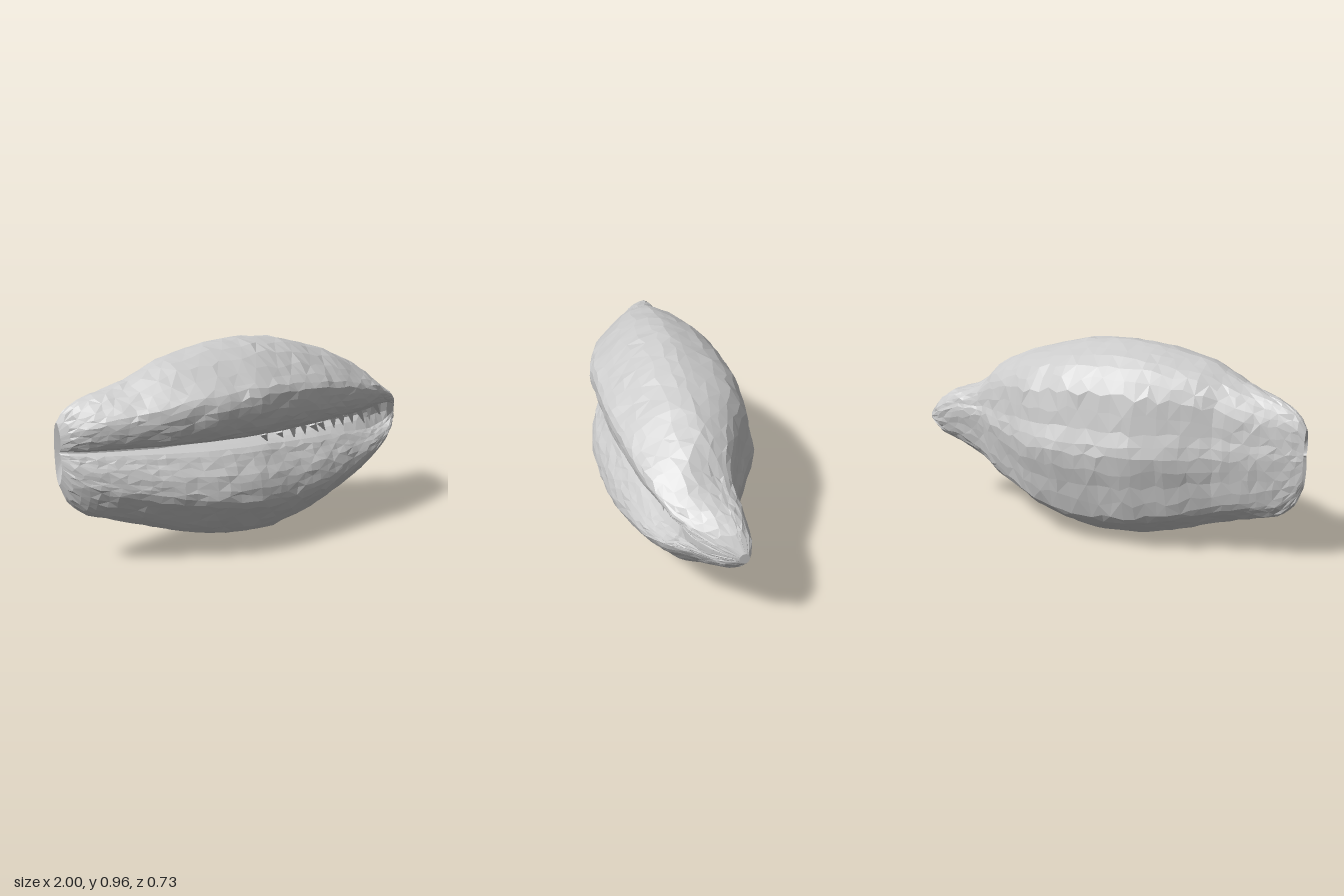
import * as THREE from 'three';

const { clamp, lerp, smoothstep } = THREE.MathUtils;

// Piecewise profile through [x, value] pairs
function profile(pairs) {
  return (x) => {
    let i = 0;
    while (i < pairs.length - 2 && x > pairs[i + 1][0]) i++;
    const [a, b] = [pairs[i], pairs[i + 1]];
    return lerp(a[1], b[1], clamp((x - a[0]) / (b[0] - a[0]), 0, 1));
  };
}

// Outline of the shell along its length
const top = profile([[-1, 0.66], [-0.97, 0.71], [-0.9, 0.755], [-0.7, 0.82], [-0.53, 0.9], [-0.3, 0.95], [-0.1, 0.967],
  [0.1, 0.955], [0.4, 0.88], [0.65, 0.77], [0.72, 0.715], [0.78, 0.66], [0.88, 0.625], [0.95, 0.57], [1, 0.5]]);
const bottom = profile([[-1, 0.38], [-0.97, 0.3], [-0.9, 0.23], [-0.6, 0.13], [-0.4, 0.06], [-0.2, 0.015], [0, 0],
  [0.2, 0.035], [0.4, 0.1], [0.6, 0.175], [0.72, 0.235], [0.85, 0.335], [0.95, 0.39], [1, 0.45]]);
const front = profile([[-1, -0.04], [-0.97, 0.01], [-0.9, 0.07], [-0.8, 0.135], [-0.6, 0.24], [-0.4, 0.325], [-0.2, 0.362],
  [0.2, 0.345], [0.4, 0.31], [0.6, 0.265], [0.8, 0.19], [0.9, 0.11], [0.96, 0.03], [1, -0.055]]);
const back = profile([[-1, -0.105], [-0.9, -0.125], [-0.6, -0.2], [-0.4, -0.285], [-0.25, -0.34], [0.1, -0.37],
  [0.3, -0.345], [0.4, -0.27], [0.5, -0.225], [0.62, -0.165], [0.67, -0.14], [0.8, -0.135], [0.95, -0.125], [1, -0.1]]);
const middle = profile([[-1, -0.075], [-0.6, 0], [0.6, 0], [0.85, -0.03], [1, -0.08]]);
const seam = profile([[-1, 0.53], [0, 0.515], [0.5, 0.53], [0.8, 0.555], [0.92, 0.51], [1, 0.475]]);
// How far the slot gapes, how far forward its floor lies, and how round the ends are
const gape = profile([[-0.1, 0], [0.4, 0.04], [0.65, 0.09], [0.78, 0.09], [0.88, 0.02], [1, 0]]);
const floor = profile([[-1, 0.2], [-0.5, 0.16], [0.2, 0.14], [0.5, 0.17], [0.8, 0.24], [0.9, 0.3], [1, 0.33]]);
const round = profile([[-1, 0.6], [-0.65, 0], [0.76, 0], [0.9, 0.85], [1, 1]]);
// Step down from the body to the spire
const step = profile([[0.6, 0], [0.7, 0.3], [0.78, 0.2], [0.88, 0]]);

// Cross-section [z, y] in mid shell: slot floor, upper lip, dome, back, belly, lower lip
const section = new THREE.CatmullRomCurve3([
  [0.08, 0.515], [0.16, 0.522], [0.24, 0.535], [0.29, 0.56], [0.33, 0.61], [0.352, 0.68], [0.35, 0.76], [0.29, 0.825],
  [0.15, 0.932], [0.01, 0.966], [-0.09, 0.943], [-0.21, 0.888], [-0.3, 0.775], [-0.333, 0.6], [-0.368, 0.48],
  [-0.335, 0.32], [-0.29, 0.15], [-0.22, 0.09], [-0.1, 0.02], [0, 0], [0.1, 0.018], [0.2, 0.065], [0.29, 0.15],
  [0.36, 0.24], [0.362, 0.3], [0.345, 0.37], [0.305, 0.435], [0.268, 0.49], [0.17, 0.51],
].map(([z, y]) => new THREE.Vector3(0, y, z)), true);

function shellPoint(x, t) {
  const p = section.getPoint(t);
  const s = seam(x), m = middle(x);
  const inSlot = p.z > 0 && Math.abs(p.y - 0.515) < 0.12;
  const depth = inSlot ? Math.max(p.z, floor(x)) : p.z;
  let across = depth >= 0 ? depth / 0.362 : depth / 0.368;
  let height = p.y >= 0.515 ? (p.y - 0.515) / 0.452 : (p.y - 0.515) / 0.515;
  // the ends turn towards a plain oval: the spire all round, the broad end at its back
  const oval = round(x) * (x > 0 ? 1 : clamp(-p.z / 0.12, 0, 1));
  const scale = lerp(1, 1 / Math.hypot(across, height), oval);
  across *= scale;
  height *= scale;
  // the spire sits lower than the body behind the upper lip
  const sunk = 1 - step(x) * (1 - smoothstep(p.z, -0.05, 0.2)) * (height > 0 ? 1 : 0.4);
  // the slot opens wider near the spire by lowering the inner lip
  const open = height < 0 && p.z > 0 ? gape(x) * Math.max(0, 1 + height * 2) * Math.min(1, -height * 25) : 0;
  const y = s + height * sunk * (height > 0 ? top(x) - s : s - bottom(x)) - open;
  const z = m + across * (across > 0 ? front(x) - m : m - back(x));
  return new THREE.Vector3(x, y, z);
}

function makeRandom(seed) {
  return () => {
    seed = (seed * 16807) % 2147483647;
    return seed / 2147483647 - 0.5;
  };
}

function shellGeometry() {
  const rings = 46, sides = 60, random = makeRandom(71);
  const positions = [], index = [];
  for (let i = 0; i <= rings; i++) {
    // rings crowd together towards both ends
    const u = i / rings * 2 - 1;
    const x = 0.6 * u + 0.4 * Math.sin(u * Math.PI / 2);
    const end = i === 0 || i === rings;
    for (let j = 0; j < sides; j++) {
      // the slot and lips stay regular, the rest is slightly uneven
      const rough = end || j < 6 || j > sides - 5 ? 0 : 1;
      const p = shellPoint(x + random() * 0.018 * rough, (j + random() * 0.4 * rough) / sides);
      positions.push(p.x, p.y + random() * 0.007 * rough, p.z + random() * 0.007 * rough);
    }
  }
  for (let i = 0; i < rings; i++) {
    for (let j = 0; j < sides; j++) {
      const a = i * sides + j, b = i * sides + (j + 1) % sides;
      const c = a + sides, d = b + sides;
      if ((i + j) % 2) index.push(a, c, d, a, d, b);
      else index.push(a, c, b, b, c, d);
    }
  }
  // closed ends, the broad one slightly hollow
  for (const [ring, x] of [[0, -0.96], [rings, 1]]) {
    const centre = positions.length / 3;
    positions.push(x, seam(x), middle(x));
    for (let j = 0; j < sides; j++) {
      const a = ring * sides + j, b = ring * sides + (j + 1) % sides;
      if (ring) index.push(centre, b, a);
      else index.push(centre, a, b);
    }
  }
  const geometry = new THREE.BufferGeometry();
  geometry.setAttribute('position', new THREE.Float32BufferAttribute(positions, 3));
  geometry.setIndex(index);
  geometry.computeVertexNormals();
  return geometry;
}

export function createModel() {
  const model = new THREE.Group();
  model.name = 'seashell';
  const material = new THREE.MeshStandardMaterial({ color: 0xcccccc, flatShading: true, side: THREE.DoubleSide });

  const shell = new THREE.Mesh(shellGeometry(), material);
  shell.name = 'shellBody';
  model.add(shell);

  // Ragged teeth leaning across the slot under the upper lip
  const teeth = new THREE.Group();
  teeth.name = 'lipTeeth';
  const random = makeRandom(19);
  for (let i = 0; i < 12; i++) {
    const x = -0.08 + i * 0.074 + random() * 0.03;
    const length = 0.06 + random() * 0.03 + gape(x) * 0.5;
    const tooth = new THREE.Mesh(new THREE.ConeGeometry(0.022, length, 4), material);
    tooth.name = 'tooth';
    tooth.position.copy(shellPoint(x, 2 / 29));
    tooth.position.y -= length * 0.3;
    tooth.rotation.set(Math.PI + 0.15, 0, -0.5 + random() * 0.5);
    teeth.add(tooth);
  }
  model.add(teeth);
  return model;
}
